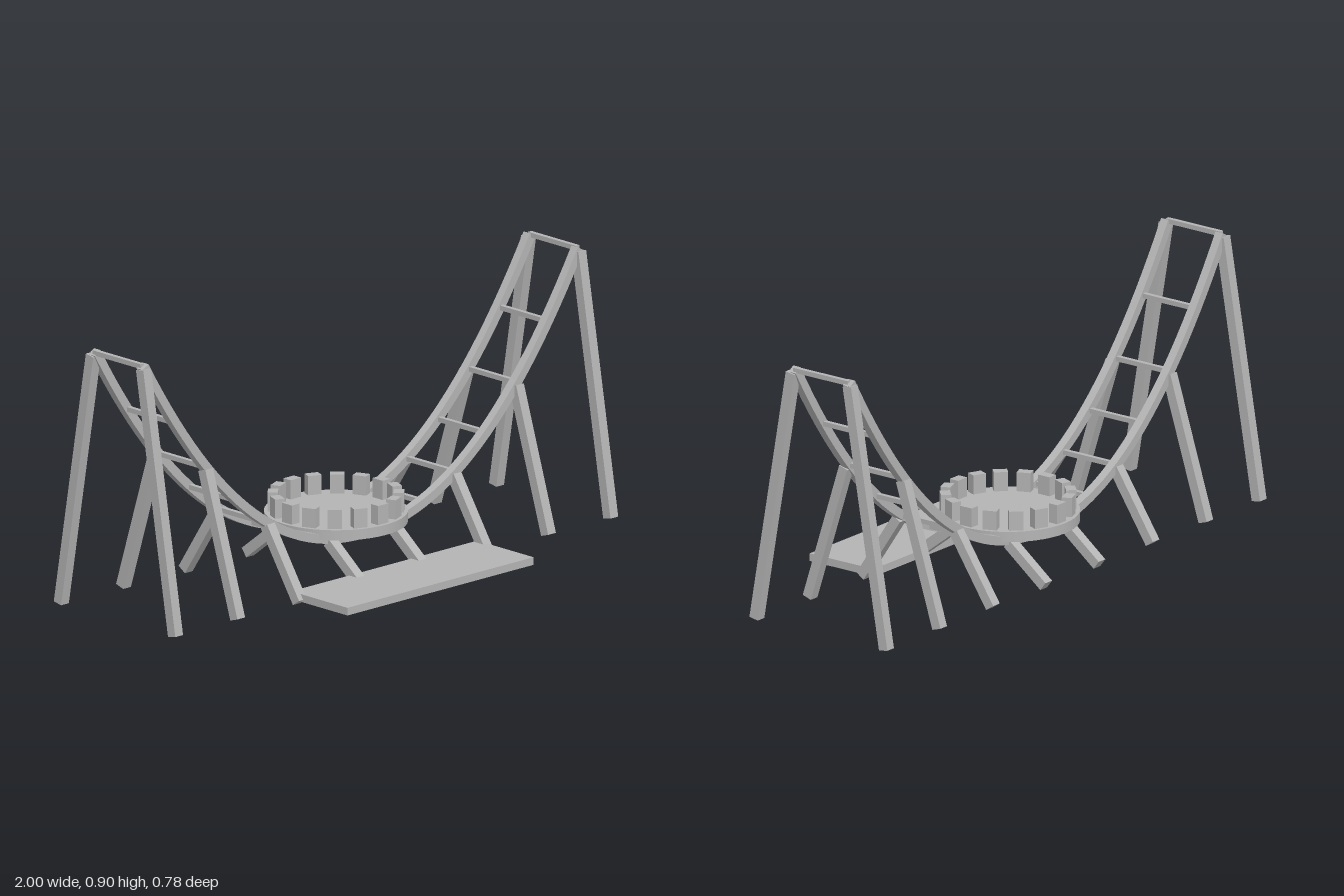
import * as THREE from 'three';

export function createModel() {
  const model = new THREE.Group();
  model.name = 'halfPipeCoaster';
  const grey = new THREE.MeshStandardMaterial({ color: 0xb4b4b4 });
  grey.name = 'grey';

  const MID_Z = -0.1025, RAIL_OFFSET = 0.1125, END_X = 0.982;
  const trackY = x => 0.13 + 0.767 * Math.pow(Math.abs(x) / END_X, 2.17);
  const slope = x => Math.sign(x) * 0.767 * 2.17 / END_X * Math.pow(Math.abs(x) / END_X, 1.17);

  function add(name, geometry, x, y, z, parent = model) {
    const mesh = new THREE.Mesh(geometry, grey);
    mesh.name = name;
    mesh.position.set(x, y, z);
    parent.add(mesh);
    return mesh;
  }

  // Curved rails: the track curve thickened along its normal, then extruded
  const upper = [], lower = [], STEPS = 56, HALF = 0.015;
  for (let i = 0; i <= STEPS; i++) {
    const x = -END_X + 2 * END_X * i / STEPS;
    const n = new THREE.Vector2(-slope(x), 1).normalize().multiplyScalar(HALF);
    upper.push(new THREE.Vector2(x + n.x, trackY(x) + n.y));
    lower.push(new THREE.Vector2(x - n.x, trackY(x) - n.y));
  }
  const railShape = new THREE.Shape([...lower, ...upper.reverse()]);
  const railGeometry = new THREE.ExtrudeGeometry(railShape, { depth: 0.03, bevelEnabled: false });
  for (const side of [1, -1]) {
    add(side > 0 ? 'frontRail' : 'backRail', railGeometry, 0, 0, MID_Z + side * RAIL_OFFSET - 0.015);
  }

  // Cross ties between the rails
  const tieGeometry = new THREE.BoxGeometry(0.016, 0.016, 2 * RAIL_OFFSET);
  for (let i = -7; i <= 7; i++) {
    const x = i * END_X / 7;
    add('crossTie', tieGeometry, x, trackY(x), MID_Z);
  }

  // Splayed support legs in mirrored pairs
  const up = new THREE.Vector3(0, 1, 0);
  for (const k of [-7, -5, -3, -1, 1, 3, 5, 7]) {
    const x = k * END_X / 7;
    for (const side of [1, -1]) {
      const top = new THREE.Vector3(x, trackY(x) - 0.009, MID_Z + side * 0.1175);
      const foot = new THREE.Vector3(x, 0.0155, MID_Z + side * 0.268);
      const along = top.clone().sub(foot);
      const centre = top.clone().add(foot).multiplyScalar(0.5);
      const leg = add('supportLeg', new THREE.BoxGeometry(0.035, along.length(), 0.035),
        centre.x, centre.y, centre.z);
      leg.quaternion.setFromUnitVectors(up, along.normalize());
    }
  }

  // Round ride car with a ring of seats
  const car = new THREE.Group();
  car.name = 'rideCar';
  car.position.set(0, 0, MID_Z);
  model.add(car);
  add('carDisc', new THREE.CylinderGeometry(0.235, 0.235, 0.035, 48), 0, 0.1675, 0, car);
  const seatGeometry = new THREE.BoxGeometry(0.034, 0.066, 0.047);
  for (let i = 0; i < 16; i++) {
    const a = i * Math.PI / 8;
    add('seat', seatGeometry, 0.205 * Math.cos(a), 0.217, 0.205 * Math.sin(a), car).rotation.y = -a;
  }

  // Boarding platform in front
  add('boardingPlatform', new THREE.BoxGeometry(0.84, 0.026, 0.264), 0, 0.03, 0.256);

  return model;
}
